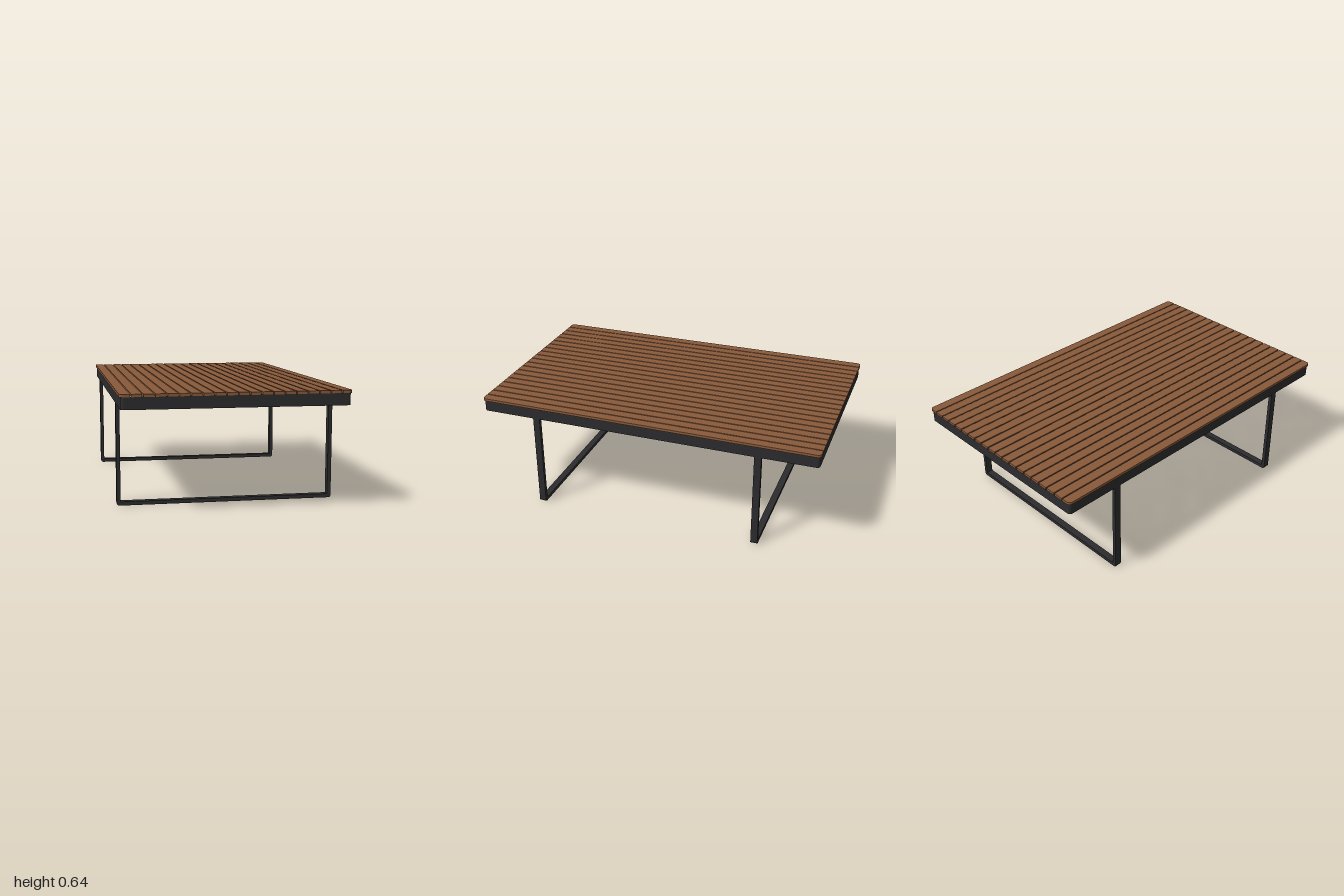
import * as THREE from 'three';

// Rectangle outline with a separate radius for the corners on each x side
function roundedRect(path, x0, y0, x1, y1, rBL, rBR, rTR, rTL) {
  path.moveTo(x0 + rBL, y0);
  path.lineTo(x1 - rBR, y0);
  if (rBR) path.quadraticCurveTo(x1, y0, x1, y0 + rBR);
  path.lineTo(x1, y1 - rTR);
  if (rTR) path.quadraticCurveTo(x1, y1, x1 - rTR, y1);
  path.lineTo(x0 + rTL, y1);
  if (rTL) path.quadraticCurveTo(x0, y1, x0, y1 - rTL);
  path.lineTo(x0, y0 + rBL);
  if (rBL) path.quadraticCurveTo(x0, y0, x0 + rBL, y0);
  return path;
}

function extrude(shape, depth) {
  return new THREE.ExtrudeGeometry(shape, { depth, bevelEnabled: false, curveSegments: 6 });
}

export function createModel() {
  const wood = new THREE.MeshStandardMaterial({ color: 0x88593a });
  wood.name = 'brown wood';
  const metal = new THREE.MeshStandardMaterial({ color: 0x2c2c2e });
  metal.name = 'dark metal';

  const table = new THREE.Group();
  table.name = 'slattedTable';
  const add = (name, geometry, material, parent = table) => {
    const mesh = new THREE.Mesh(geometry, material);
    mesh.name = name;
    parent.add(mesh);
    return mesh;
  };

  const topY = 0.643, slatBottom = 0.628, frameBottom = 0.563;
  const halfWidth = 0.612, frameX = 0.605, frameZ = 0.995;

  // Tabletop: twenty long slats, the outermost with rounded outer corners
  const slats = new THREE.Group();
  slats.name = 'tabletopSlats';
  table.add(slats);
  const count = 20, gap = 0.0065;
  const width = (2 * halfWidth - gap * (count - 1)) / count;
  for (let i = 0; i < count; i++) {
    const x = -halfWidth + i * (width + gap);
    const l = i === 0 ? 0.025 : 0;
    const r = i === count - 1 ? 0.025 : 0;
    const shape = roundedRect(new THREE.Shape(), x, -1, x + width, 1, l, r, r, l);
    const geometry = extrude(shape, topY - slatBottom);
    geometry.rotateX(-Math.PI / 2).translate(0, slatBottom, 0);
    add('slat' + (i + 1), geometry, wood, slats);
  }

  // Apron: open rectangular frame under the slats
  const apron = roundedRect(new THREE.Shape(), -frameX, -frameZ, frameX, frameZ, 0.02, 0.02, 0.02, 0.02);
  const t = 0.02;
  apron.holes.push(roundedRect(new THREE.Path(), -frameX + t, -frameZ + t, frameX - t, frameZ - t, 0, 0, 0, 0));
  const apronGeometry = extrude(apron, slatBottom - frameBottom);
  apronGeometry.rotateX(-Math.PI / 2).translate(0, frameBottom, 0);
  add('apronFrame', apronGeometry, metal);

  // Legs: a U-shaped flat-bar loop near each end
  const bar = 0.021, legDepth = 0.04, r = 0.016;
  const leg = new THREE.Shape();
  leg.moveTo(-frameX, frameBottom);
  leg.lineTo(-frameX, r);
  leg.quadraticCurveTo(-frameX, 0, -frameX + r, 0);
  leg.lineTo(frameX - r, 0);
  leg.quadraticCurveTo(frameX, 0, frameX, r);
  leg.lineTo(frameX, frameBottom);
  leg.lineTo(frameX - bar, frameBottom);
  leg.lineTo(frameX - bar, bar);
  leg.lineTo(-frameX + bar, bar);
  leg.lineTo(-frameX + bar, frameBottom);
  leg.closePath();
  const legGeometry = extrude(leg, legDepth).translate(0, 0, -legDepth / 2);
  add('frontLegs', legGeometry, metal).position.z = 0.66;
  add('backLegs', legGeometry, metal).position.z = -0.66;

  return table;
}
